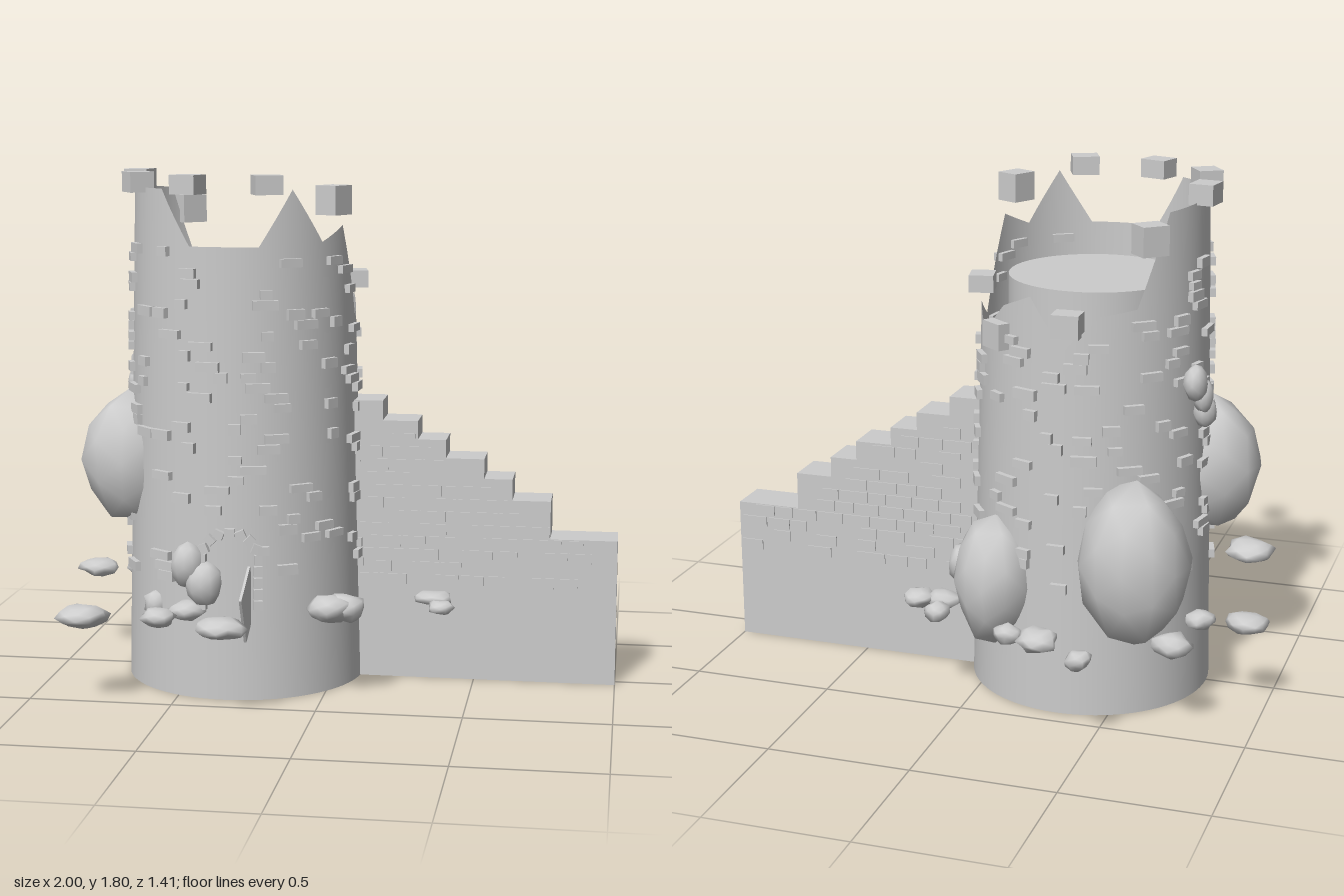
import * as THREE from 'three';
import { mergeGeometries, mergeVertices } from 'three/addons/utils/BufferGeometryUtils.js';

const CX = -0.33, CZ = -0.008;
const RAD = Math.PI / 180;
// Broken rim heights, one every 18 degrees from +x towards +z
const RIM = [1.29, 1.62, 1.57, 1.75, 1.56, 1.56, 1.56, 1.75, 1.75, 1.75,
  1.75, 1.74, 1.73, 1.42, 1.40, 1.28, 1.45, 1.40, 1.28, 1.37];

function seeded(seed) {
  let s = seed;
  return () => (s = (s * 16807) % 2147483647) / 2147483647;
}
const radiusAt = (y) => 0.425 - 0.024 * y;

function rimHeight(angle) {
  const t = ((angle / (18 * RAD)) % 20 + 20) % 20;
  const i = Math.floor(t);
  return THREE.MathUtils.lerp(RIM[i % 20], RIM[(i + 1) % 20], t - i);
}

// Box set against the tower at an angle; depth is radial
function towerBox(angle, y, depth, height, width, r = radiusAt(y), tilt = 0) {
  const g = new THREE.BoxGeometry(depth, height, width);
  g.rotateX(tilt);
  g.rotateY(-angle);
  g.translate(CX + r * Math.cos(angle), y, CZ + r * Math.sin(angle));
  return g;
}

// Lumpy smooth ball for bushes and stones
function lump(x, y, z, rx, ry, rz, seed, rough) {
  let g = new THREE.IcosahedronGeometry(1, 1);
  g.deleteAttribute('normal');
  g.deleteAttribute('uv');
  g = mergeVertices(g, 1e-3);
  const rnd = seeded(seed * 7919 + 13);
  rnd();
  const p = g.attributes.position;
  for (let i = 0; i < p.count; i++) {
    const k = 1 + (rnd() - 0.5) * rough;
    p.setXYZ(i, p.getX(i) * k, p.getY(i) * k, p.getZ(i) * k);
  }
  g.scale(rx, ry, rz);
  g.translate(x, y, z);
  g.computeVertexNormals();
  return g;
}

export function createModel() {
  const model = new THREE.Group();
  model.name = 'ruinedTower';
  const stone = new THREE.MeshStandardMaterial({ color: 0xcccccc, side: THREE.DoubleSide });
  stone.name = 'grey stone';
  const add = (name, geometry) => {
    const mesh = new THREE.Mesh(geometry, stone);
    mesh.name = name;
    model.add(mesh);
    return mesh;
  };

  // Open tapered shell with a jagged rim
  const shell = new THREE.CylinderGeometry(1, 1, 1, 80, 1, true);
  const p = shell.attributes.position;
  for (let i = 0; i < p.count; i++) {
    const a = Math.atan2(p.getZ(i), p.getX(i));
    const y = p.getY(i) > 0 ? rimHeight(a) : 0;
    const r = radiusAt(y);
    p.setXYZ(i, CX + r * Math.cos(a), y, CZ + r * Math.sin(a));
  }
  add('towerShell', shell);

  // Inner core with the upper floor
  const core = new THREE.CylinderGeometry(0.3, 0.3, 1.0, 48);
  core.translate(CX, 0.96, CZ);
  add('innerFloor', core);

  // Scattered raised bricks
  const rnd = seeded(4242);
  const bricks = [];
  for (let row = 0; row < 33; row++) {
    const y = 0.42 + row * 0.035;
    for (let n = 0; n < 8; n++) {
      const a = (n + rnd() * 0.9) * 45 * RAD;
      const width = 0.04 + rnd() * 0.05;
      const nearDoor = Math.abs(a - 90 * RAD) < 0.3 && y < 0.64;
      if (rnd() < 0.2 || nearDoor || y > rimHeight(a) - 0.06) continue;
      bricks.push(towerBox(a, y, 0.036, 0.026 + rnd() * 0.01, width));
    }
  }
  add('towerBricks', mergeGeometries(bricks));

  // Floating battlement blocks, every 40 degrees: [centre height, block height]
  const blocks = [[1.71, 0.1], [1.768, 0.065], [1.768, 0.065], [1.768, 0.07], [1.768, 0.07],
    [1.65, 0.1], [1.37, 0.08], [1.30, 0.09], [1.42, 0.06]];
  add('battlementBlocks', mergeGeometries(blocks.map(([y, h], i) =>
    towerBox((28 + i * 40) * RAD, y, 0.085, h, 0.095, 0.392))));

  // Doorway arch stones and jambs
  const arch = [];
  const doorX = -0.31, springY = 0.495;
  const archStone = (x, y, tilt, w, h) => {
    const a = Math.acos((x - CX) / radiusAt(y));
    arch.push(towerBox(a, y, 0.035, h, w, radiusAt(y), tilt));
  };
  for (let i = 0; i <= 8; i++) {
    const t = i * 22.5 * RAD;
    archStone(doorX + 0.095 * Math.cos(t), springY + 0.095 * Math.sin(t), Math.PI / 2 - t, 0.034, 0.028);
  }
  for (const side of [-1, 1])
    for (let y = 0.455; y > 0.33; y -= 0.04) archStone(doorX + side * 0.095, y, 0, 0.03, 0.034);
  add('doorArch', mergeGeometries(arch));

  // Broken door leaf hanging at a tilt
  const door = add('doorLeaf', new THREE.BoxGeometry(0.009, 0.186, 0.18));
  door.position.set(-0.243, 0.35, 0.447);
  door.rotation.x = 27 * RAD;

  // Stepped wall: [start x, end x, top]
  const steps = [[0.03, 0.17, 1.0], [0.17, 0.295, 0.93], [0.295, 0.395, 0.865], [0.395, 0.53, 0.8],
    [0.53, 0.63, 0.73], [0.63, 0.765, 0.655], [0.765, 1.0, 0.52]];
  const wallZ = -0.035, wallHalf = 0.077;
  const outline = new THREE.Shape();
  outline.moveTo(0.03, 0);
  for (const [x0, x1, top] of steps) {
    outline.lineTo(x0, top);
    outline.lineTo(x1, top);
  }
  outline.lineTo(1.0, 0);
  const wall = new THREE.ExtrudeGeometry(outline, { depth: wallHalf * 2, bevelEnabled: false });
  wall.translate(0, 0, wallZ - wallHalf);
  add('steppedWall', wall);

  // Thin raised bricks on both wall faces
  const wallBricks = [];
  for (const side of [-1, 1])
    for (let row = 0; row < 14; row++) {
      const y = 0.36 + row * 0.046;
      let x = 0.09 + (row % 2) * 0.04;
      while (x < 0.95) {
        const w = 0.06 + rnd() * 0.05;
        const top = steps.find((s) => x + w <= s[1])?.[2] ?? 0;
        if (y + 0.02 < top && rnd() > 0.22 + (y < 0.45 ? 0.3 : 0)) {
          const g = new THREE.BoxGeometry(w, 0.038, 0.006);
          g.translate(x + w / 2, y, wallZ + side * (wallHalf + 0.002));
          wallBricks.push(g);
        }
        x += w + 0.008;
      }
    }
  add('wallBricks', mergeGeometries(wallBricks));

  // Bushes clinging to the tower: x, y, z, radii
  const bushes = [
    [-0.72, 0.79, 0.1, 0.185, 0.24, 0.175], [-0.58, 0.56, -0.365, 0.195, 0.28, 0.19],
    [-0.075, 0.43, -0.34, 0.148, 0.23, 0.145],
    [-0.46, 0.47, 0.395, 0.06, 0.08, 0.06], [-0.40, 0.41, 0.405, 0.065, 0.08, 0.06],
    [-0.73, 1.15, -0.19, 0.04, 0.065, 0.05], [-0.745, 1.03, -0.1, 0.04, 0.06, 0.05],
    [-0.745, 1.09, -0.13, 0.035, 0.06, 0.04], [0.08, 0.43, -0.24, 0.05, 0.075, 0.05],
  ];
  add('bushes', mergeGeometries(bushes.map((b, i) => lump(...b, i + 1, 0.16))));

  // Flat stones ringed around the tower: x, z, radius, half height
  const stones = [
    [-0.93, -0.18, 0.07, 0.033], [-0.8, 0.53, 0.085, 0.04], [-0.54, 0.51, 0.06, 0.035],
    [-0.3, 0.62, 0.08, 0.038], [0.03, 0.37, 0.07, 0.05], [0.08, 0.335, 0.065, 0.05],
    [0.36, 0.1, 0.065, 0.024], [0.4, 0.235, 0.042, 0.024], [-0.47, -0.665, 0.042, 0.035],
    [-0.29, -0.54, 0.07, 0.04], [-0.18, -0.52, 0.048, 0.035], [0.115, -0.41, 0.042, 0.035],
    [0.13, -0.29, 0.06, 0.03], [0.22, -0.3, 0.06, 0.03], [-0.59, 0.31, 0.045, 0.045],
    [-0.46, 0.4, 0.06, 0.035], [-0.73, -0.45, 0.065, 0.045], [-0.77, -0.2, 0.05, 0.035],
  ];
  add('scatteredStones', mergeGeometries(stones.map(([x, z, r, h], i) =>
    lump(x, 0.31 + (h > 0.045 ? 0.015 : 0), z, r * 1.05, h, r * 0.95, i + 31, 0.35))));

  return model;
}
